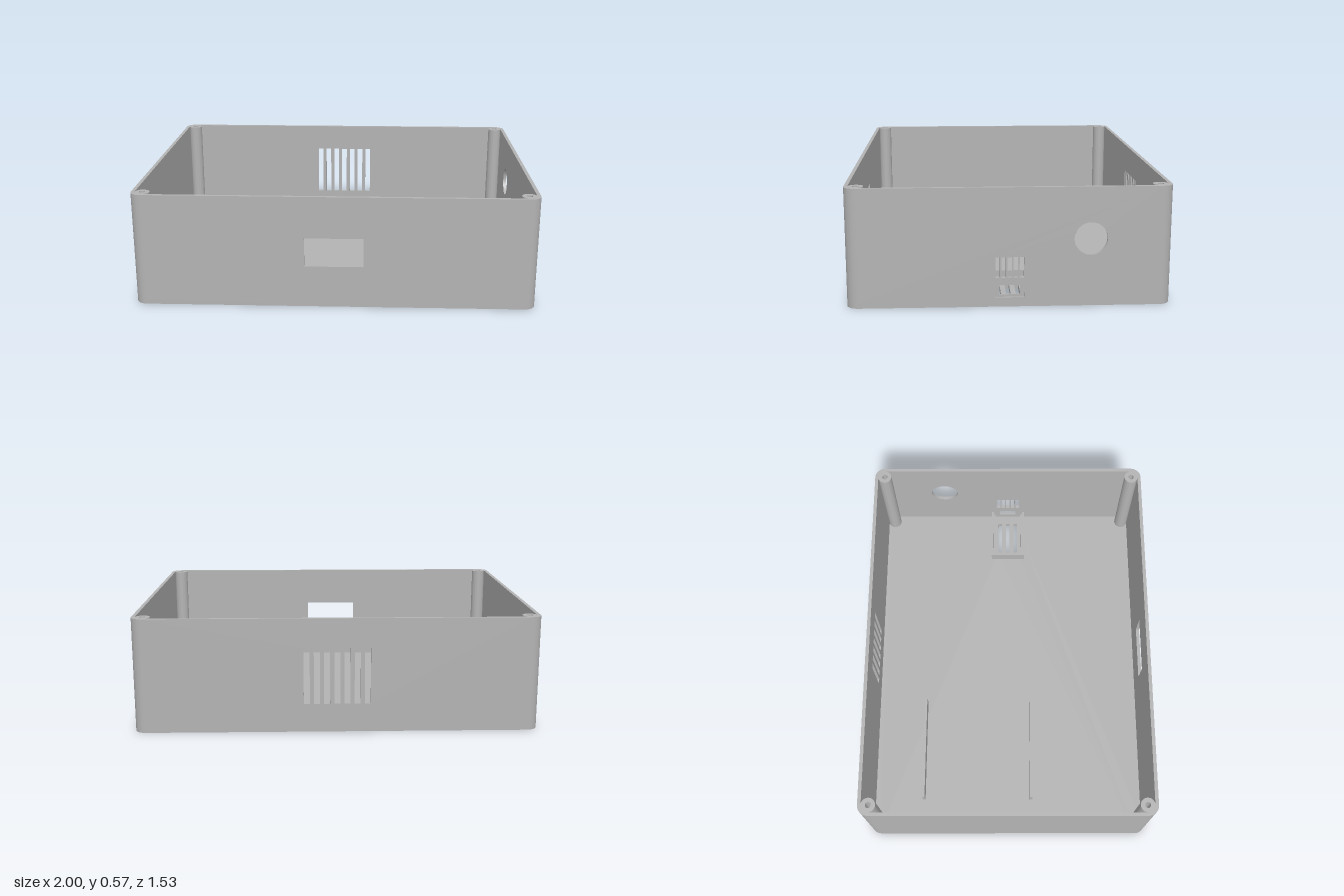
import * as THREE from 'three';
import { toCreasedNormals } from 'three/addons/utils/BufferGeometryUtils.js';

const W = 1, D = 0.763, H = 0.572; // half width, half depth, height
const F = 0.027, T = 0.018, R = 0.055; // floor and wall thickness, corner radius
const CX = W - R, CZ = D - R; // corner post centres

export function createModel() {
  const model = new THREE.Group();
  const grey = new THREE.MeshStandardMaterial({ color: 0xb3b3b3 });
  grey.name = 'grey plastic';

  const add = (name, geometry, parent = model) => {
    const mesh = new THREE.Mesh(geometry, grey);
    mesh.name = name;
    parent.add(mesh);
    return mesh;
  };
  const box = (name, x0, x1, y0, y1, z0, z1, parent) =>
    add(name, new THREE.BoxGeometry(x1 - x0, y1 - y0, z1 - z0), parent)
      .position.set((x0 + x1) / 2, (y0 + y1) / 2, (z0 + z1) / 2);
  const rect = (x0, x1, y0, y1, Type = THREE.Path) => new Type([
    new THREE.Vector2(x0, y0), new THREE.Vector2(x1, y0),
    new THREE.Vector2(x1, y1), new THREE.Vector2(x0, y1)]);
  const circle = (x, y, r) => new THREE.Path().absarc(x, y, r, 0, Math.PI * 2, false);
  const extrude = (shape, depth) => toCreasedNormals(
    new THREE.ExtrudeGeometry(shape, { depth, bevelEnabled: false, curveSegments: 20 }), 0.6);
  const panel = (half, depth, holes) => {
    const shape = rect(-half, half, F, H, THREE.Shape);
    shape.holes.push(...holes);
    return extrude(shape, depth);
  };
  const slots = (count, pitch, width, y0, y1) => Array.from({ length: count }, (_, i) => {
    const x = (i - (count - 1) / 2) * pitch;
    return rect(x - width / 2, x + width / 2, y0, y1);
  });

  // Floor with rounded corners and three vent slots
  const base = new THREE.Shape();
  base.absarc(CX, CZ, R, 0, Math.PI / 2, false);
  base.absarc(-CX, CZ, R, Math.PI / 2, Math.PI, false);
  base.absarc(-CX, -CZ, R, Math.PI, Math.PI * 1.5, false);
  base.absarc(CX, -CZ, R, Math.PI * 1.5, Math.PI * 2, false);
  for (const z of [-0.047, 0, 0.047]) base.holes.push(rect(0.73, 0.93, z - 0.011, z + 0.011));
  add('floor', extrude(base, F)).rotation.x = -Math.PI / 2;

  // Front wall with display window, back wall with seven vents
  add('frontWall', panel(CX, T, [rect(-0.148, 0.145, 0.213, 0.36)])).position.z = D - T;
  add('backWall', panel(CX, T, slots(7, 0.05, 0.03, 0.143, 0.425))).position.z = -D;
  box('leftSideWall', -W, -W + T, F, H, -CZ, CZ);

  // Port wall in two skins, so the socket opening is stepped
  const portHoles = () => [circle(0.379, 0.325, 0.078), ...slots(5, 0.0285, 0.021, 0.141, 0.24)];
  const skins = [
    ['portWallOuter', W - T / 2, rect(-0.069, 0.069, 0.045, 0.118)],
    ['portWallInner', W - T, rect(-0.049, 0.049, 0.057, 0.102)],
  ];
  for (const [name, x, socket] of skins) {
    const skin = add(name, panel(CZ, T / 2, [...portHoles(), socket]));
    skin.rotation.y = Math.PI / 2;
    skin.position.x = x;
  }

  // Rounded corners, each joined to a hollow screw post
  const corner = new THREE.Shape();
  corner.absarc(0, 0, R, 0, Math.PI / 2, false);
  corner.absarc(0, 0, R - T, Math.PI / 2, Math.PI * 2, false);
  corner.holes.push(circle(0, 0, 0.015));
  const cornerGeometry = extrude(corner, H - F).rotateX(-Math.PI / 2);
  [[CX, -CZ], [-CX, -CZ], [-CX, CZ], [CX, CZ]].forEach(([x, z], i) => {
    const post = add('cornerPost', cornerGeometry);
    post.position.set(x, F, z);
    post.rotation.y = i * Math.PI / 2;
  });

  // Two upright rails on the floor
  for (const z of [-0.473, 0.13]) box('boardRail', -0.815, -0.24, F, 0.107, z - 0.007, z + 0.007);

  // Small board holder behind the socket
  const holder = new THREE.Group();
  holder.name = 'boardHolder';
  model.add(holder);
  box('holderEnd', 0.685, 0.697, F, 0.084, -0.1, 0.1, holder);
  for (const s of [-1, 1]) {
    const side = (name, top, a, b) =>
      box(name, 0.697, W - T, F, top, Math.min(s * a, s * b), Math.max(s * a, s * b), holder);
    side('holderSide', 0.084, 0.088, 0.1);
    side('holderLedge', 0.055, 0.077, 0.088);
  }
  return model;
}
